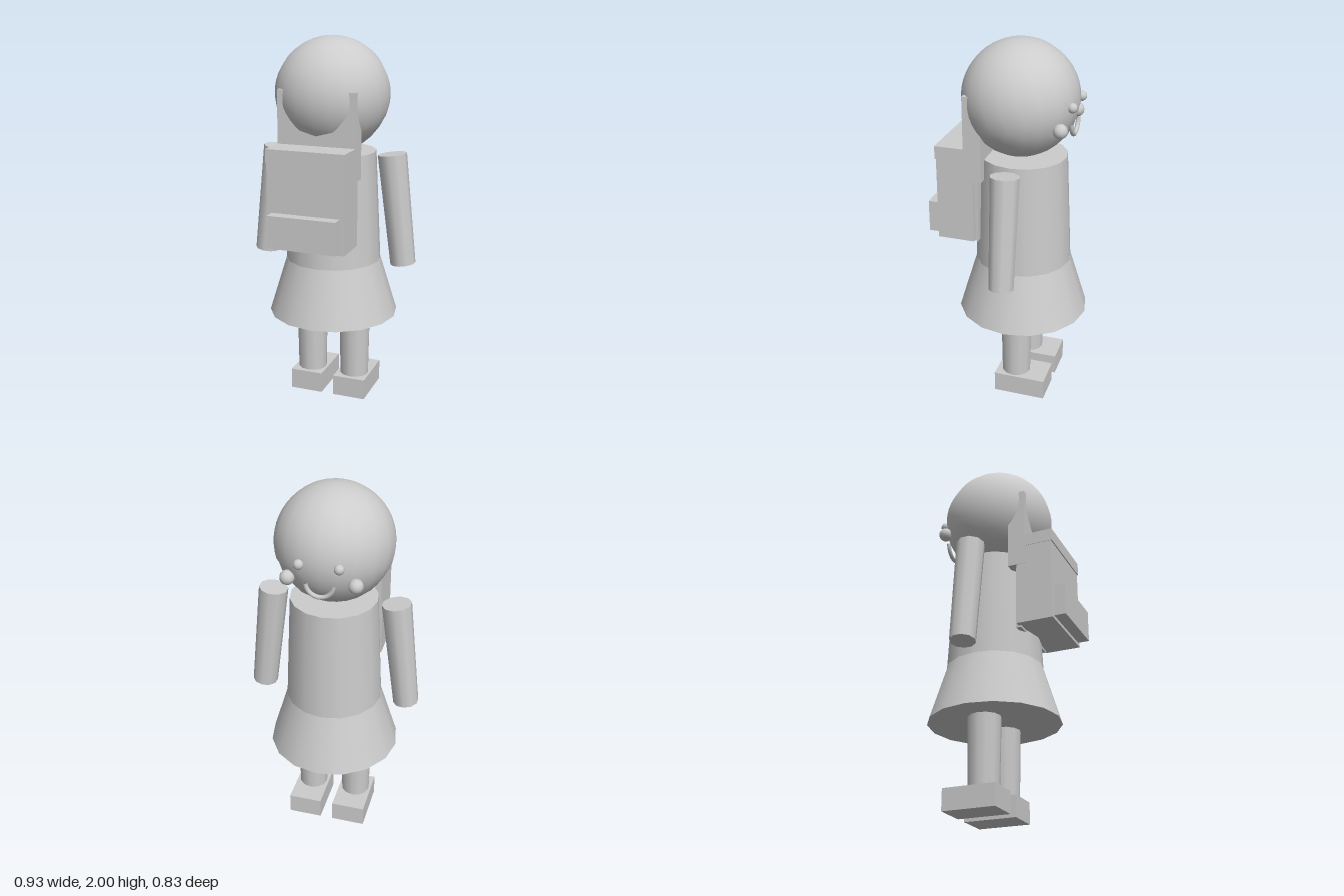
import * as THREE from 'three';

export function createModel() {
  const model = new THREE.Group();
  model.name = 'childWithBackpack';
  const grey = new THREE.MeshStandardMaterial({ color: 0xcccccc });
  grey.name = 'plainGrey';

  const add = (name, geometry, x, y, z) => {
    const mesh = new THREE.Mesh(geometry, grey);
    mesh.name = name;
    mesh.position.set(x, y, z);
    model.add(mesh);
    return mesh;
  };
  // Box given by its extents on each axis
  const box = (name, x0, x1, y0, y1, z0, z1) =>
    add(name, new THREE.BoxGeometry(x1 - x0, y1 - y0, z1 - z0),
      (x0 + x1) / 2, (y0 + y1) / 2, (z0 + z1) / 2);
  // Tapered upright cylinder between two heights
  const cone = (name, rTop, rBottom, y0, y1, x, z, sides) =>
    add(name, new THREE.CylinderGeometry(rTop, rBottom, y1 - y0, sides), x, (y0 + y1) / 2, z);
  const ball = (name, r, x, y, z, w = 12, h = 8) =>
    add(name, new THREE.SphereGeometry(r, w, h), x, y, z);

  const bodyZ = -0.057;

  // Body: dress top and flared skirt
  cone('torso', 0.23, 0.26, 0.79, 1.395, 0, bodyZ, 16);
  cone('skirt', 0.26, 0.355, 0.485, 0.795, 0, bodyZ, 16);

  // Head with a hair cap tilted towards the back
  ball('head', 0.3, 0, 1.693, -0.039, 20, 16);
  const hair = add('hair', new THREE.SphereGeometry(0.305, 20, 16, 0, Math.PI * 2, 0, 1.93),
    0, 1.695, -0.038);
  hair.rotation.x = 0.3;
  hair.geometry.computeBoundingSphere();

  // Smiling mouth, a half ring on the face
  const mouth = add('mouth', new THREE.TorusGeometry(0.07, 0.012, 8, 16, Math.PI), 0, 1.602, -0.323);
  mouth.rotation.z = Math.PI;

  // Paired parts
  for (const s of [1, -1]) {
    const side = s > 0 ? 'Right' : 'Left';
    ball('eye' + side, 0.026, s * 0.1, 1.7, -0.332);
    ball('cheek' + side, 0.038, s * 0.172, 1.6, -0.292);

    cone('leg' + side, 0.087, 0.08, 0.1, 0.5, s * 0.127, bodyZ, 12);
    box('shoe' + side, s * 0.127 - 0.092, s * 0.127 + 0.092, 0, 0.115, -0.242, 0.045);

    // Arm hanging slightly outwards
    const arm = cone('arm' + side, 0.077, 0.068, 0.797, 1.397, s * 0.364, bodyZ, 10);
    arm.rotation.z = s * 0.12;

    box('strap' + side, s * 0.145 - 0.035, s * 0.145 + 0.035, 0.93, 1.29, 0.142, 0.17);
  }

  // Backpack
  box('backpackBody', -0.21, 0.21, 0.94, 1.45, 0.157, 0.355);
  box('backpackFlap', -0.212, 0.212, 1.39, 1.46, 0.157, 0.361);
  box('backpackPocket', -0.185, 0.185, 0.957, 1.13, 0.35, 0.417);
  box('backpackUpperPanel', -0.212, 0.212, 1.285, 1.74, 0.11, 0.205);

  return model;
}
